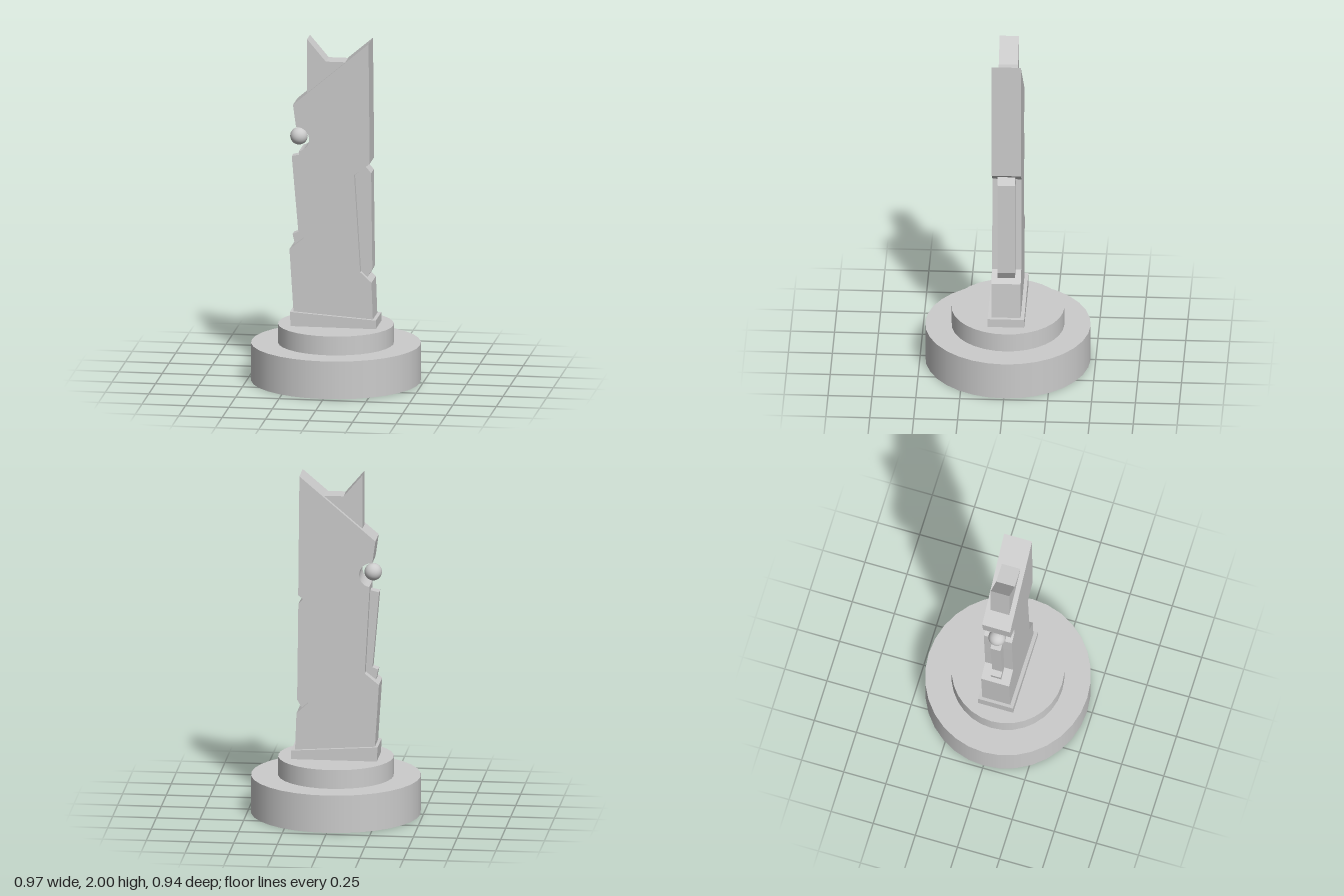
import * as THREE from 'three';
import { toCreasedNormals } from 'three/addons/utils/BufferGeometryUtils.js';

const material = new THREE.MeshStandardMaterial({ color: 0xcccccc });

export function createModel() {
  const group = new THREE.Group();

  const add = (name, geometry) => {
    const mesh = new THREE.Mesh(geometry, material);
    mesh.name = name;
    group.add(mesh);
    return mesh;
  };

  // Flat slab: an outline in the xy plane, centred in depth
  const slab = (name, outline, depth) => {
    const shape = outline instanceof THREE.Shape
      ? outline
      : new THREE.Shape(outline.map(([x, y]) => new THREE.Vector2(x, y)));
    const geometry = new THREE.ExtrudeGeometry(shape, { depth, bevelEnabled: false, curveSegments: 24 });
    geometry.translate(0, 0, -depth / 2);
    return add(name, toCreasedNormals(geometry, 0.4));
  };

  // Slightly oval plinth discs
  const disc = (name, radius, bottom, top) => {
    const mesh = add(name, new THREE.CylinderGeometry(radius, radius, top - bottom, 32));
    mesh.position.y = (bottom + top) / 2;
    mesh.scale.z = 0.972;
  };
  disc('lowerPlinth', 0.484, 0, 0.22);
  disc('upperPlinth', 0.33, 0.22, 0.33);

  // Sloping collar at the foot of the blade
  slab('collar', [[-0.245, 0.33], [0.245, 0.33], [0.245, 0.38], [-0.25, 0.413]], 0.208);

  // Main blade with a recess on each edge and a round notch for the ball
  const ball = new THREE.Vector2(-0.213, 1.42);
  const body = new THREE.Shape();
  body.moveTo(-0.228, 0.35);
  body.lineTo(0.226, 0.35);
  body.lineTo(0.217, 0.595);
  body.lineTo(0.152, 0.655);
  body.lineTo(0.117, 1.222);
  body.lineTo(0.207, 1.29);
  body.lineTo(0.2, 1.99);
  body.lineTo(-0.235, 1.62);
  body.lineTo(-0.217, 1.49);
  body.absarc(ball.x, ball.y, 0.071, Math.PI / 2, -Math.PI / 2 + 0.18, true);
  body.lineTo(-0.2, 1.32);
  body.lineTo(-0.174, 0.84);
  body.lineTo(-0.255, 0.775);
  slab('blade', body, 0.166);

  // Inlaid strip in the +x recess
  slab('leftInlay', [[0.1, 0.62], [0.19, 0.62], [0.217, 0.667], [0.21, 1.228], [0.178, 1.267], [0.1, 1.2]], 0.1);

  // Inlaid strip and its small foot in the -x recess
  slab('rightInlay', [[-0.15, 0.79], [-0.232, 0.79], [-0.245, 0.852], [-0.212, 0.865],
    [-0.25, 1.307], [-0.2, 1.318], [-0.15, 1.318]].reverse(), 0.06);

  // Notched core rising out of the slanted top
  slab('topCore', [[-0.158, 1.6], [0.063, 1.6], [0.063, 1.873], [-0.05, 1.873], [-0.158, 2]], 0.11);

  // Ball set in the round notch
  add('ball', new THREE.SphereGeometry(0.05, 32, 20)).position.set(ball.x, ball.y, 0);

  return group;
}
